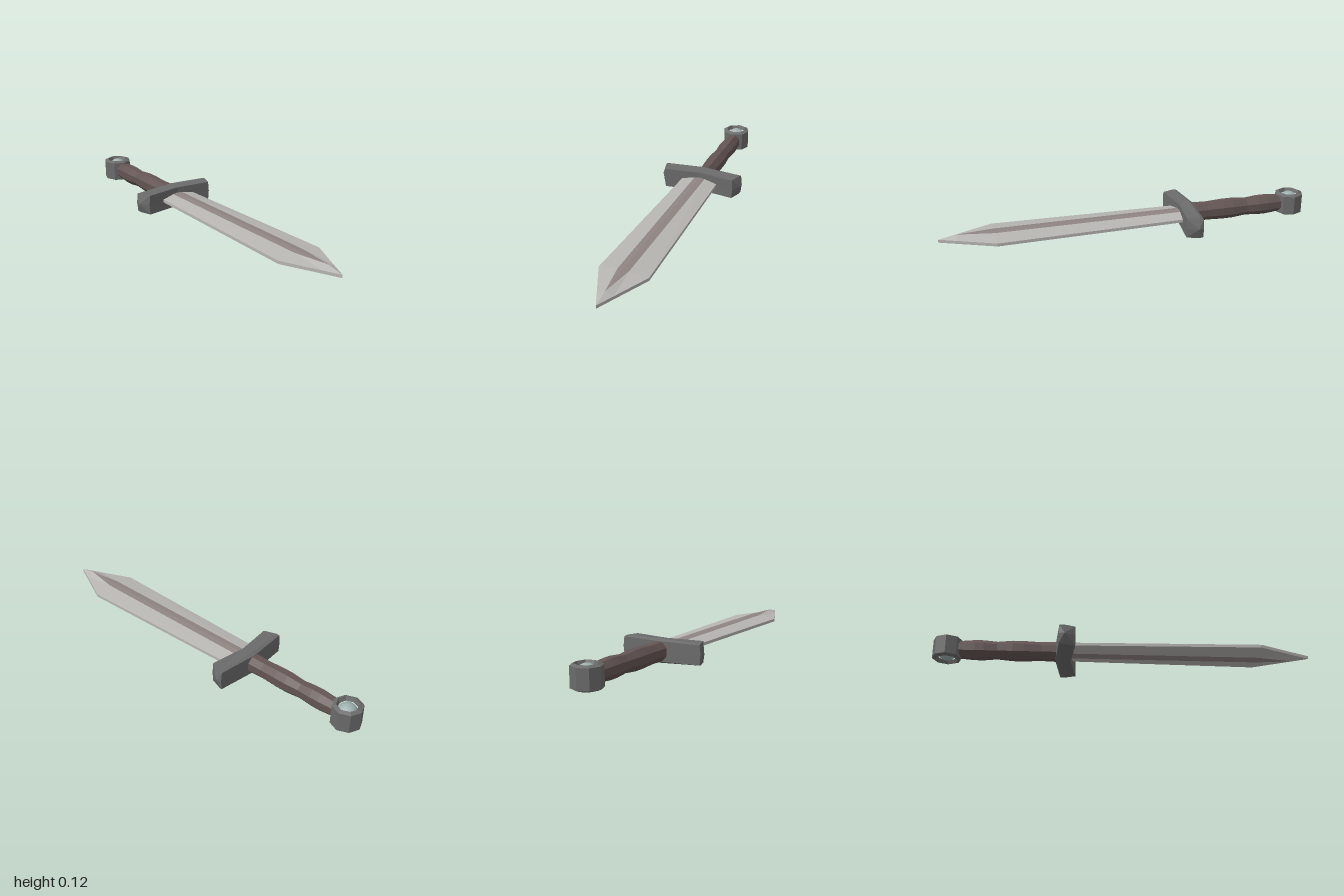
import * as THREE from 'three';

const MID = 0.0625; // height of the sword's middle plane

const paint = (color, flatShading = true) => new THREE.MeshStandardMaterial({ color, flatShading });
const steel = paint(0xb8b6b3);
const fullerSteel = paint(0x8f8583);
const iron = paint(0x6b6b6b);
const leather = paint(0x635553);
const glass = paint(0x9fb0ae, false);

// Quads joining two rows of points
function strip(a, b, from = 0, to = a.length - 1) {
  const quads = [];
  for (let i = from; i < to; i++) quads.push([a[i], b[i], b[i + 1], a[i + 1]]);
  return quads;
}

// Mirrors the polygons of one quarter (x > 0, y > 0) into all four quarters
function mirrored(polys) {
  const pos = [];
  for (const sx of [1, -1]) {
    for (const sy of [1, -1]) {
      for (const poly of polys) {
        for (let i = 1; i < poly.length - 1; i++) {
          const tri = [poly[0], poly[i], poly[i + 1]].map(p => new THREE.Vector3(p[0] * sx, p[1] * sy, p[2]));
          if (new THREE.Triangle(...tri).getArea() < 1e-7) continue;
          if (sx * sy < 0) tri.reverse();
          tri.forEach(v => pos.push(v.x, v.y, v.z));
        }
      }
    }
  }
  const g = new THREE.BufferGeometry();
  g.setAttribute('position', new THREE.Float32BufferAttribute(pos, 3));
  g.computeVertexNormals();
  return g;
}

export function createModel() {
  const sword = new THREE.Group();
  sword.name = 'sword';
  const add = (name, geometry, material, z = 0, parent = sword) => {
    const mesh = new THREE.Mesh(geometry, material);
    mesh.name = name;
    mesh.position.set(0, MID, z);
    parent.add(mesh);
    return mesh;
  };

  // Blade: ridge, fuller side, upper edge, edge middle at each station
  const sections = [
    // z, half width, fuller half width, ridge, fuller side height
    [-0.31, 0.1, 0.03, 0.025, 0.022],
    [0.72, 0.128, 0.03, 0.025, 0.022],
    [0.91, 0.041, 0, 0.025, 0.025],
    [1, 0, 0, 0.008, 0.008],
  ].map(([z, w, f, ridge, side]) => [[0, ridge, z], [f, side, z], [w, 0.008, z], [w, 0, z]]);
  const fuller = [], bevels = [];
  for (let i = 0; i < sections.length - 1; i++) {
    fuller.push(...strip(sections[i], sections[i + 1], 0, 1));
    bevels.push(...strip(sections[i], sections[i + 1], 1, 3));
  }
  add('blade', mirrored(bevels), steel);
  add('fuller', mirrored(fuller), fullerSteel);

  // Crossguard: swept towards the tip, with slanted pointed ends
  const centre = [[0, 0, -0.275], [0, 0.054, -0.275], [0, 0.0625, -0.335], [0, 0.052, -0.355], [0, 0, -0.355]];
  const end = [[0.2, 0, -0.25], [0.195, 0.054, -0.25], [0.217, 0.055, -0.315], [0.222, 0.05, -0.333], [0.228, 0, -0.333]];
  const point = [0.233, 0, -0.305];
  const endFan = end.slice(1).map((p, i) => [point, p, end[i]]);
  add('crossguard', mirrored([...strip(centre, end), ...endFan]), iron);

  // Grip: eight-sided, with two swells
  const gripProfile = [
    [0.049, 0.34], [0.046, 0.43], [0.05, 0.52], [0.05, 0.58], [0.043, 0.66],
    [0.049, 0.73], [0.049, 0.78], [0.041, 0.88],
  ].map(([r, y]) => new THREE.Vector2(r, y));
  const grip = new THREE.LatheGeometry(gripProfile, 8, Math.PI / 8);
  grip.rotateX(-Math.PI / 2).scale(1, 1.1, 1);
  add('grip', grip, leather);

  // Pommel: eight-sided ring holding a domed gem on both faces
  const pommelProfile = [
    [0.048, -0.04], [0.057, -0.06], [0.077, -0.051], [0.077, 0.051], [0.057, 0.06], [0.048, 0.04],
  ].map(([r, y]) => new THREE.Vector2(r, y));
  add('pommel', new THREE.LatheGeometry(pommelProfile, 8), iron, -0.923);
  add('gem', new THREE.SphereGeometry(0.054, 20, 14), glass, -0.923).scale.y = 1.1;

  return sword;
}
